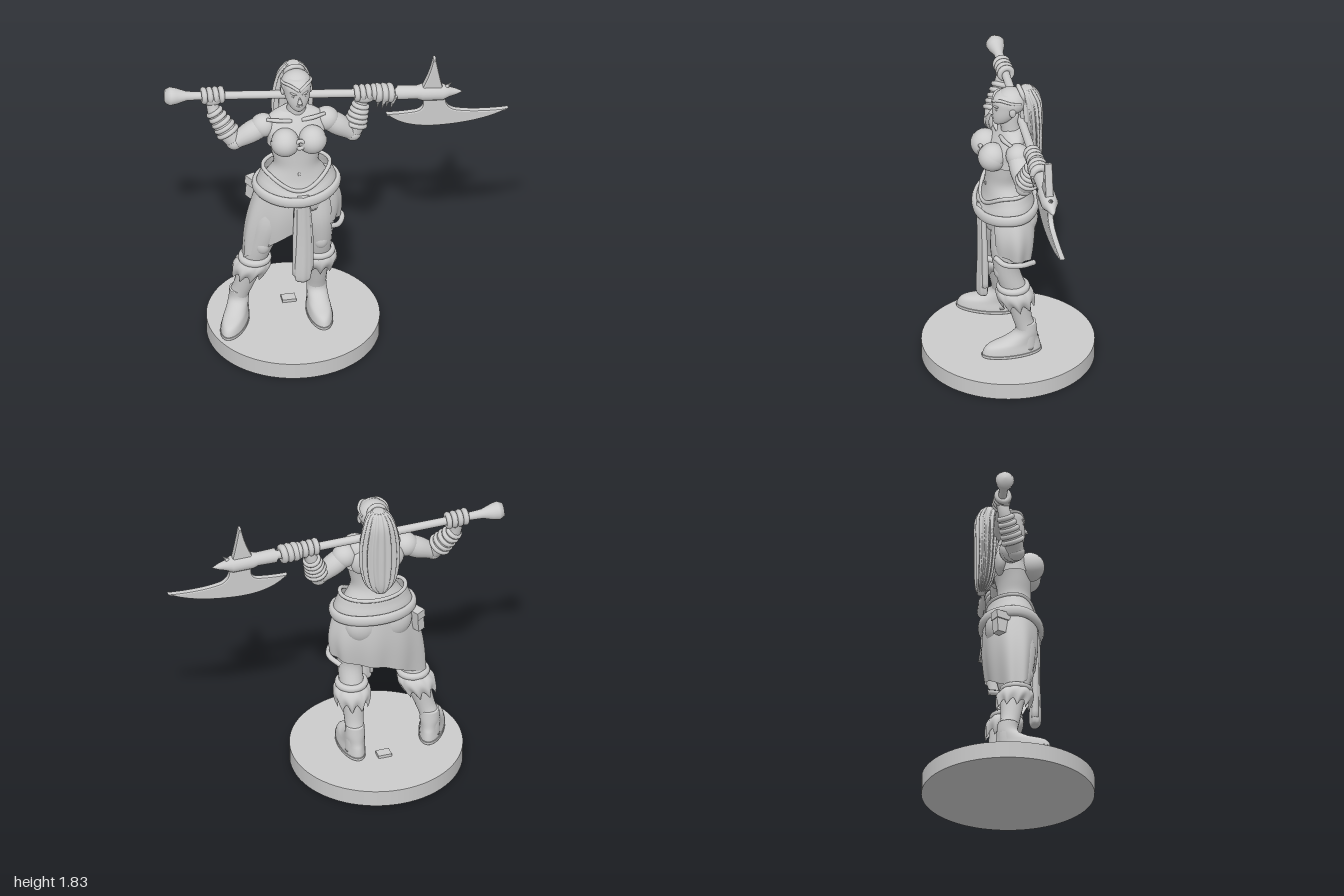
import * as THREE from 'three';

const { sin, cos, PI, abs, max, min, round } = Math;
const V = (x, y, z) => new THREE.Vector3(x, y, z);
const grey = new THREE.MeshStandardMaterial({ color: 0xcccccc });
const greyThin = new THREE.MeshStandardMaterial({ color: 0xcccccc, side: THREE.DoubleSide });

function add(parent, name, geo, pos = [0, 0, 0], rot = [0, 0, 0], scale = [1, 1, 1], mat = grey) {
  const m = new THREE.Mesh(geo, mat);
  m.name = name;
  m.position.set(...pos);
  m.rotation.set(...rot);
  m.scale.set(...scale);
  parent.add(m);
  return m;
}
const ball = (parent, name, pos, scale, rot) =>
  add(parent, name, new THREE.SphereGeometry(1, 24, 16), pos, rot, scale);

// Surface from fn(u, v); u may wrap round into a closed ring
function grid(nu, nv, closed, fn) {
  const p = [], idx = [], w = closed ? nu : nu + 1;
  for (let j = 0; j <= nv; j++) for (let i = 0; i < w; i++) p.push(...fn(i / nu, j / nv));
  for (let j = 0; j < nv; j++) for (let i = 0; i < nu; i++) {
    const a = j * w + i, b = j * w + (i + 1) % w;
    idx.push(a, b, b + w, a, b + w, a + w);
  }
  const g = new THREE.BufferGeometry();
  g.setAttribute('position', new THREE.Float32BufferAttribute(p, 3));
  g.setIndex(idx);
  g.computeVertexNormals();
  return g;
}

// Interpolates rows of numbers smoothly
function sample(rows, t) {
  const f = t * (rows.length - 1), i = min(Math.floor(f), rows.length - 2), k = f - i;
  const at = n => rows[max(0, min(rows.length - 1, n))];
  return rows[0].map((_, c) => {
    const a = at(i - 1)[c], b = at(i)[c], d = at(i + 1)[c], e = at(i + 2)[c];
    return b + 0.5 * k * (d - a + k * (2 * a - 5 * b + 4 * d - e + k * (3 * (b - d) + e - a)));
  });
}

// Horizontal rings [x, y, z, rx, rz] from bottom to top, closed at both ends
function loft(rows, ripple = 0, count = 0, nu = 32) {
  const n = (rows.length - 1) * 5;
  return grid(nu, n + 2, true, (u, v) => {
    const j = round(v * (n + 2)), cap = j === 0 || j === n + 2 ? 0 : 1;
    const [x, y, z, rx, rz] = sample(rows, max(0, min(1, (j - 1) / n)));
    const a = u * 2 * PI, r = cap * (1 + ripple * cos(a * count));
    return [x + rx * r * sin(a), y, z + rz * r * cos(a)];
  });
}

// Round limb through [x, y, z, radius]
function limb(rows, nu = 20) {
  const curve = new THREE.CatmullRomCurve3(rows.map(r => V(r[0], r[1], r[2])));
  const n = (rows.length - 1) * 6, fr = curve.computeFrenetFrames(n);
  return grid(nu, n + 2, true, (u, v) => {
    const j = round(v * (n + 2)), k = max(0, min(n, j - 1));
    const r = j === 0 || j === n + 2 ? 0 : sample(rows, k / n)[3], a = u * 2 * PI;
    return curve.getPoint(k / n).addScaledVector(fr.normals[k], r * cos(a))
      .addScaledVector(fr.binormals[k], r * sin(a)).toArray();
  });
}

function buildHead(g) {
  const X = -0.24;
  add(g, 'neck', loft([[X, 1.48, -0.02, 0.085, 0.06], [X, 1.54, -0.01, 0.058, 0.055], [X, 1.66, 0.0, 0.053, 0.055]]));
  add(g, 'head', loft([[X, 1.598, 0.062, 0.022, 0.025], [X, 1.62, 0.045, 0.048, 0.052], [X, 1.66, 0.028, 0.068, 0.073],
    [X, 1.71, 0.015, 0.078, 0.083], [X, 1.76, 0.01, 0.078, 0.083], [X, 1.795, 0.0, 0.052, 0.058]]));
  ball(g, 'hairCap', [X, 1.735, -0.012], [0.09, 0.08, 0.088]);
  add(g, 'nose', new THREE.ConeGeometry(0.015, 0.05, 8), [X, 1.692, 0.1], [-0.3, 0, 0]);
  ball(g, 'lips', [X, 1.645, 0.093], [0.021, 0.008, 0.011]);
  for (const s of [-1, 1]) {
    ball(g, 'eye', [X + s * 0.031, 1.71, 0.084], [0.014, 0.007, 0.009]);
    ball(g, 'brow', [X + s * 0.033, 1.728, 0.086], [0.023, 0.007, 0.01], [0, s * 0.4, s * 0.25]);
    ball(g, 'ear', [X + s * 0.082, 1.7, 0.0], [0.012, 0.03, 0.02]);
    // Headband dips to a point over the brow
    add(g, 'headband', limb([[X, 1.75, 0.096, 0.009], [X + s * 0.05, 1.775, 0.066, 0.009],
      [X + s * 0.084, 1.765, 0.01, 0.008], [X + s * 0.08, 1.75, -0.05, 0.006]], 10));
  }
  add(g, 'ponytail', loft([[X, 1.27, -0.155, 0.03, 0.02], [X, 1.33, -0.14, 0.085, 0.048], [X, 1.45, -0.13, 0.112, 0.06],
    [X, 1.6, -0.125, 0.112, 0.066], [X, 1.72, -0.12, 0.09, 0.068], [X, 1.785, -0.105, 0.062, 0.058],
    [X, 1.815, -0.105, 0.03, 0.03]], 0.08, 16, 96));
  add(g, 'hairTie', new THREE.TorusGeometry(0.05, 0.014, 10, 24), [X, 1.77, -0.075], [0.3, 0, 0]);
}

function buildTorso(g) {
  const X = -0.25;
  add(g, 'torso', loft([[X, 0.92, 0.02, 0.2, 0.13], [X, 1.05, 0.02, 0.225, 0.145], [X, 1.14, 0.025, 0.175, 0.12],
    [X, 1.22, 0.035, 0.132, 0.1], [X, 1.31, 0.035, 0.145, 0.098], [X, 1.4, 0.025, 0.165, 0.105],
    [X, 1.47, 0.005, 0.185, 0.09], [X, 1.53, -0.01, 0.145, 0.065], [X, 1.56, -0.015, 0.08, 0.05]]));
  ball(g, 'navel', [X, 1.19, 0.137], [0.008, 0.013, 0.005]);
  for (const s of [-1, 1]) {
    ball(g, 'breast', [X + s * 0.08, 1.42, 0.118], [0.08, 0.08, 0.08]);
    add(g, 'topCup', new THREE.SphereGeometry(0.085, 24, 14, 0, 2 * PI, 0, 1.75),
      [X + s * 0.08, 1.415, 0.118], [PI - 0.55, 0, 0], [1, 1, 1], greyThin);
    add(g, 'collarbone', limb([[X + s * 0.03, 1.515, 0.055, 0.012], [X + s * 0.1, 1.525, 0.055, 0.013],
      [X + s * 0.17, 1.525, 0.03, 0.01]], 10));
    ball(g, 'shoulderBlade', [X + s * 0.09, 1.43, -0.055], [0.07, 0.08, 0.035]);
    ball(g, 'buttock', [X + s * 0.095, 1.0, -0.06], [0.11, 0.12, 0.085]);
  }
  add(g, 'topKnot', new THREE.TorusGeometry(0.026, 0.012, 8, 16), [X, 1.42, 0.165]);
  add(g, 'topBand', grid(48, 3, true, (u, v) => {
    const a = u * 2 * PI;
    return [X + 0.168 * sin(a), 1.36 + 0.05 * v, 0.028 + 0.108 * cos(a)];
  }), undefined, undefined, undefined, greyThin);
}

function buildClothes(g) {
  const X = -0.245, open = 0.75, close = 2 * PI - 0.18;
  // Wrapped skirt, open at the front, longer on its right side
  add(g, 'skirt', grid(110, 20, false, (u, v) => {
    const a = open + (close - open) * u, s = sin(a), c = cos(a);
    const hem = 0.71 + 0.06 * s - 0.1 * max(0, -s) ** 2 + 0.08 * max(0, c);
    const d = 1 - v, fold = 1 + 0.035 * d * sin(a * 9);
    const rx = 0.225 + 0.025 * sin(d * PI) + d * (s < 0 ? 0.095 * s * s : 0.025);
    const rz = 0.155 + 0.012 * sin(d * PI) - 0.015 * d;
    return [X + rx * s * fold, hem + (1.06 - hem) * v, 0.015 + rz * c * fold];
  }), undefined, undefined, undefined, greyThin);
  add(g, 'skirtHem', new THREE.TubeGeometry(new THREE.CatmullRomCurve3(
    [V(-0.07, 0.79, 0.13), V(-0.01, 0.77, 0.09), V(0.025, 0.77, 0.0), V(-0.02, 0.75, -0.09)]), 24, 0.016, 8));
  // Waist cloth over the hips, dipping at front centre
  add(g, 'waistCloth', grid(72, 10, true, (u, v) => {
    const a = u * 2 * PI, top = 1.185 - 0.1 * max(0, cos(a)) ** 3;
    const flare = 0.01 * max(0, v - 0.7) / 0.3;
    return [X + (0.24 - 0.055 * v * v + flare) * sin(a), 1.03 + (top - 1.03) * v, 0.02 + (0.163 - 0.035 * v * v + flare) * cos(a)];
  }), undefined, undefined, undefined, greyThin);
  const loop = (n, f) => new THREE.CatmullRomCurve3(Array.from({ length: n }, (_, i) => f(i / n * 2 * PI)), true);
  add(g, 'waistRim', new THREE.TubeGeometry(loop(24, a =>
    V(X + 0.195 * sin(a), 1.185 - 0.1 * max(0, cos(a)) ** 3, 0.02 + 0.138 * cos(a))), 72, 0.012, 8, true));
  add(g, 'belt', grid(64, 12, true, (u, v) => {
    const a = u * 2 * PI, b = v * 2 * PI, r = -0.018 * cos(b);
    return [X + (0.242 + r) * sin(a), 1.06 - 0.035 * cos(a) ** 2 * (cos(a) > 0 ? 1 : -0.3) - 0.034 * sin(b), 0.02 + (0.172 + r) * cos(a)];
  }), undefined, undefined, undefined, greyThin);
  // Hanging front cloth: broad middle with two narrow side strips
  add(g, 'frontCloth', loft([[-0.235, 0.45, 0.16, 0.035, 0.025], [-0.235, 0.5, 0.162, 0.05, 0.034], [-0.23, 0.75, 0.165, 0.045, 0.026],
    [-0.235, 1.06, 0.172, 0.035, 0.022]], 0.06, 6, 48));
  for (const [x, y] of [[-0.275, 0.49], [-0.19, 0.52]])
    add(g, 'sideStrip', loft([[x, y, 0.155, 0.018, 0.02], [x, 0.75, 0.158, 0.018, 0.018], [x + (X - x) * 0.4, 1.05, 0.165, 0.016, 0.015]]));
  const pouch = add(g, 'pouch', new THREE.BoxGeometry(0.05, 0.13, 0.09), [-0.475, 0.975, -0.07], [0, 0.5, -0.1]);
  add(pouch, 'pouchFlap', new THREE.BoxGeometry(0.06, 0.05, 0.1), [-0.003, 0.045, 0]);
}

function buildLeg(g, hip, knee, ankle, yaw) {
  const [ax, ay, az] = ankle, mix = t => knee.map((k, i) => k + (ankle[i] - k) * t);
  const mid = mix(0.45), thigh = knee.map((k, i) => (k + hip[i]) / 2);
  add(g, 'leg', limb([[...hip, 0.105], [thigh[0], thigh[1], thigh[2] + 0.01, 0.1], [...knee, 0.074],
    [mid[0], mid[1], mid[2] - 0.01, 0.07], [...mix(0.8), 0.056], [ax, ay, az, 0.056], [ax, 0.13, az, 0.06]]));
  ball(g, 'kneecap', [knee[0], knee[1], knee[2] + 0.045], [0.043, 0.055, 0.035]);
  // Boot foot
  const foot = new THREE.Group();
  foot.name = 'foot';
  foot.position.set(ax, 0, az);
  foot.rotation.y = yaw;
  g.add(foot);
  add(foot, 'boot', loft([[0, 0.1, 0.085, 0.07, 0.172], [0, 0.125, 0.085, 0.071, 0.173], [0, 0.165, 0.075, 0.064, 0.155],
    [0, 0.195, 0.035, 0.06, 0.105], [0, 0.24, 0.0, 0.058, 0.065], [0, 0.3, 0, 0.054, 0.058]]));
  add(foot, 'sole', loft([[0, 0.1, 0.085, 0.074, 0.178], [0, 0.118, 0.085, 0.074, 0.178]]));
  // Fur cuff with a jagged lower edge
  const c = mix((knee[1] - 0.5) / (knee[1] - ay));
  add(g, 'furCuff', grid(80, 10, true, (u, v) => {
    const a = u * 2 * PI, tooth = 0.05 * abs(sin(a * 4.5)), low = 0.4 + tooth;
    const r = 0.088 + 0.022 * sin(v * PI) - 0.022 * v ** 6;
    const y = low + (0.56 - low) * v, k = (0.5 - y) / (0.5 - ay);
    return [c[0] + (ax - c[0]) * k + r * sin(a), y, c[2] + (az - c[2]) * k + r * cos(a)];
  }), undefined, undefined, undefined, greyThin);
  add(g, 'cuffRoll', new THREE.TorusGeometry(0.076, 0.022, 10, 32), [c[0] + (c[0] - ax) * 0.2, 0.55, c[2] + 0.01], [PI / 2, 0, 0]);
}

function buildArm(g, shoulder, elbow, wrist, hand) {
  const lerp = (a, b, t) => a.map((v, i) => v + (b[i] - v) * t);
  ball(g, 'shoulder', shoulder, [0.075, 0.072, 0.07]);
  add(g, 'upperArm', limb([[...shoulder, 0.062], [...lerp(shoulder, elbow, 0.45), 0.064], [...elbow, 0.047]]));
  ball(g, 'elbow', elbow, [0.05, 0.05, 0.05]);
  add(g, 'forearm', limb([[...elbow, 0.048], [...lerp(elbow, wrist, 0.4), 0.06], [...wrist, 0.038], [...hand, 0.036]]));
  // Wrapped bracer bands
  const dir = V(...wrist).sub(V(...elbow)).normalize();
  for (let i = 0; i < 5; i++) {
    const t = 0.32 + i * 0.16;
    const ring = add(g, 'bracerBand', new THREE.TorusGeometry(0.057 - 0.0045 * i, 0.015, 8, 24), lerp(elbow, wrist, t));
    ring.quaternion.setFromUnitVectors(V(0, 0, 1), dir);
  }
  ball(g, 'palm', [hand[0], hand[1] - 0.015, hand[2] + 0.012], [0.062, 0.042, 0.036]);
  for (let i = 0; i < 4; i++)
    add(g, 'finger', new THREE.TorusGeometry(0.035, 0.0175, 8, 20), [hand[0] - 0.05 + i * 0.034, hand[1] + 0.006 - i * 0.002, hand[2]], [0, PI / 2, 0.06]);
}

function buildAxe(g) {
  const shaft = new THREE.Group();
  shaft.name = 'axeShaft';
  shaft.position.set(0, 1.598, -0.05);
  shaft.rotation.set(0, -0.07, -0.066);
  g.add(shaft);
  // Shaft with flared pommel, collars and end point
  const profile = [[0, -1], [0.04, -0.995], [0.055, -0.965], [0.048, -0.93], [0.028, -0.87], [0.024, -0.8], [0.025, 0.35],
    [0.043, 0.36], [0.04, 0.47], [0.05, 0.5], [0.05, 0.62], [0.03, 0.66], [0.018, 0.7], [0, 0.74]];
  add(shaft, 'shaft', new THREE.LatheGeometry(profile.map(p => new THREE.Vector2(...p)), 20), undefined, [0, 0, -PI / 2]);
  for (const x of [0.245, 0.28, 0.315])
    add(shaft, 'shaftWrap', new THREE.TorusGeometry(0.038, 0.022, 8, 20), [x, 0, 0], [0, PI / 2 + 0.15, 0]);
  for (let i = 0; i < 4; i++)
    add(shaft, 'wrapTassel', new THREE.ConeGeometry(0.02, 0.1, 6), [0.25 + i * 0.026, -0.05, i % 2 ? 0.035 : 0.02], [PI, 0, 0.2]);
  add(shaft, 'sideSpur', new THREE.ConeGeometry(0.03, 0.1, 8), [0.64, 0.03, 0], [0, 0, -0.7]);
  const head = new THREE.Group();
  head.name = 'axeHead';
  head.position.z = -0.05;
  head.rotation.y = -0.07;
  g.add(head);
  const plate = (name, shape, depth) => add(head, name, new THREE.ExtrudeGeometry(shape,
    { depth, curveSegments: 20, bevelThickness: 0.012, bevelSize: 0.01, bevelOffset: -0.01, bevelSegments: 2 }), [0, 0, -depth / 2]);
  const blade = new THREE.Shape();
  blade.moveTo(0.49, 1.56);
  blade.quadraticCurveTo(0.53, 1.45, 0.46, 1.44);
  blade.quadraticCurveTo(0.37, 1.43, 0.29, 1.435);
  blade.quadraticCurveTo(0.38, 1.33, 0.58, 1.328);
  blade.quadraticCurveTo(0.85, 1.33, 1.0, 1.415);
  blade.quadraticCurveTo(0.8, 1.405, 0.69, 1.435);
  blade.quadraticCurveTo(0.62, 1.46, 0.64, 1.56);
  plate('blade', blade, 0.012);
  const spike = new THREE.Shape();
  spike.moveTo(0.48, 1.57);
  spike.quadraticCurveTo(0.54, 1.67, 0.565, 1.805);
  spike.lineTo(0.58, 1.805);
  spike.quadraticCurveTo(0.6, 1.68, 0.625, 1.57);
  plate('backSpike', spike, 0.025);
}

export function createModel() {
  const g = new THREE.Group();
  g.name = 'warrior';
  add(g, 'base', new THREE.CylinderGeometry(0.5, 0.5, 0.1, 72), [-0.26, 0.05, 0]);
  add(g, 'pebble', new THREE.BoxGeometry(0.08, 0.03, 0.06), [-0.26, 0.103, -0.14]);
  buildHead(g);
  buildTorso(g);
  buildClothes(g);
  buildLeg(g, [-0.135, 0.98, 0.02], [-0.115, 0.67, 0.045], [-0.11, 0.25, -0.065], 0);
  buildLeg(g, [-0.36, 0.98, 0.02], [-0.455, 0.67, 0.04], [-0.57, 0.25, -0.045], -0.45);
  buildArm(g, [-0.435, 1.465, -0.005], [-0.605, 1.375, 0.0], [-0.71, 1.55, -0.08], [-0.715, 1.645, -0.1]);
  buildArm(g, [-0.065, 1.465, -0.005], [0.09, 1.345, 0.0], [0.145, 1.51, -0.04], [0.17, 1.587, -0.038]);
  buildAxe(g);
  return g;
}
